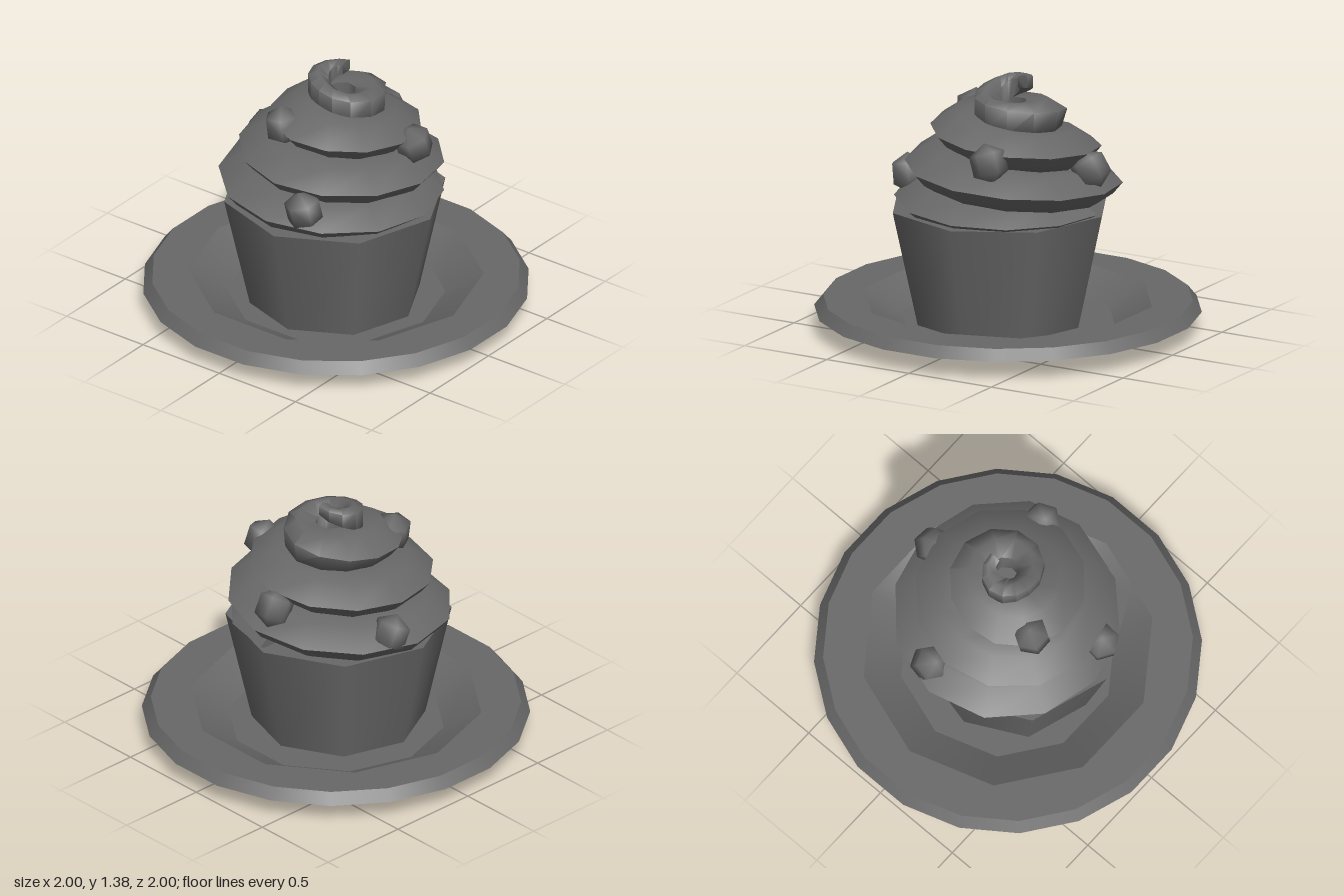
import * as THREE from 'three';
import { toCreasedNormals } from 'three/addons/utils/BufferGeometryUtils.js';

const material = new THREE.MeshStandardMaterial({ color: 0x686868 });
const openMaterial = new THREE.MeshStandardMaterial({ color: 0x686868, side: THREE.DoubleSide });

function part(parent, name, geometry, mat = material) {
  const mesh = new THREE.Mesh(geometry, mat);
  mesh.name = name;
  parent.add(mesh);
  return mesh;
}

// Cone section between two heights, with smooth sides
function band(rTop, yTop, rBottom, yBottom, sides, start, open = true) {
  return new THREE.CylinderGeometry(rTop, rBottom, yTop - yBottom, sides, 1, open, start)
    .translate(0, (yTop + yBottom) / 2, 0);
}

function polygon(PathType, radius, sides, start) {
  const points = [];
  for (let i = 0; i < sides; i++) {
    const a = start + (i / sides) * Math.PI * 2;
    points.push(new THREE.Vector2(Math.cos(a) * radius, Math.sin(a) * radius));
  }
  return new PathType(points);
}

// Twenty-sided plate with a ten-sided well
function createPlate() {
  const plate = new THREE.Group();
  plate.name = 'plate';
  const s20 = Math.PI / 20, s10 = Math.PI / 10;
  const underside = [[0, 0], [0.51, 0], [1.012, 0.105]].map(([r, y]) => new THREE.Vector2(r, y));
  part(plate, 'plateUnderside', new THREE.LatheGeometry(underside, 20, s20));
  part(plate, 'plateEdge', band(0.965, 0.163, 1.012, 0.105, 20, s20));
  const rim = polygon(THREE.Shape, 0.965, 20, s20);
  rim.holes.push(polygon(THREE.Path, 0.77, 10, 0));
  part(plate, 'plateRim', new THREE.ShapeGeometry(rim).rotateX(-Math.PI / 2).translate(0, 0.163, 0));
  part(plate, 'plateWell', band(0.77, 0.163, 0.57, 0.055, 10, s10), openMaterial);
  part(plate, 'plateFloor', new THREE.CircleGeometry(0.57, 10).rotateX(-Math.PI / 2).translate(0, 0.055, 0));
  return plate;
}

// Spiral of piped icing: a ridged section swept around and up to a thin curled tip
function icingGeometry() {
  // Outer radius and ridge height at each quarter turn, starting at the back
  const stations = [
    [0.54, 0.69], [0.58, 0.695], [0.60, 0.73], [0.62, 0.76], [0.585, 0.81],
    [0.56, 0.88], [0.53, 0.925], [0.50, 0.955], [0.48, 1.01],
    [0.43, 1.07], [0.39, 1.12], [0.32, 1.14], [0.30, 1.175],
    [0.23, 1.20], [0.145, 1.245], [0.15, 1.30], [0.12, 1.35]
  ];
  const curve = new THREE.CatmullRomCurve3(stations.map(([r, y], i) => new THREE.Vector3(r, y, i)));
  // Sections as [outward, up], from a pointed ridge to a blunt band
  const pointed = [[-0.13, -0.11], [-0.05, -0.06], [0, 0], [-0.13, 0.09], [-0.27, 0.10], [-0.27, -0.11]];
  const blunt = [[-0.03, -0.09], [0, -0.075], [0, 0.06], [-0.06, 0.085], [-0.15, 0.05], [-0.15, -0.09]];
  const n = pointed.length, quarters = stations.length - 1;
  const steps = quarters * 3;
  const positions = [], index = [];
  for (let i = 0; i <= steps; i++) {
    const q = (i / steps) * quarters;
    const p = curve.getPoint(i / steps);
    const angle = (q - 1) * Math.PI / 2;
    const mix = THREE.MathUtils.smoothstep(q, 10.5, 13);
    const size = 1 - 0.6 * THREE.MathUtils.smoothstep(q, 14, quarters);
    for (let j = 0; j < n; j++) {
      const out = THREE.MathUtils.lerp(pointed[j][0], blunt[j][0], mix) * size;
      const up = THREE.MathUtils.lerp(pointed[j][1], blunt[j][1], mix) * size;
      const r = Math.max(p.x + out, 0.04);
      positions.push(Math.cos(angle) * r, Math.max(p.y + up, 0.66), Math.sin(angle) * r);
      if (i < steps) {
        const a = i * n + j, b = i * n + (j + 1) % n;
        index.push(a, b, a + n, b, b + n, a + n);
      }
    }
  }
  const last = steps * n;
  for (let j = 1; j < n - 1; j++) {
    index.push(0, j + 1, j, last, last + j, last + j + 1);
  }
  const geometry = new THREE.BufferGeometry();
  geometry.setAttribute('position', new THREE.Float32BufferAttribute(positions, 3));
  geometry.setIndex(index);
  return toCreasedNormals(geometry, 1.25);
}

export function createModel() {
  const model = new THREE.Group();
  model.name = 'cupcakeOnPlate';
  model.add(createPlate());

  // Eight-sided cup, slightly off the plate's centre
  const cup = part(model, 'cup', band(0.59, 0.675, 0.45, 0.04, 8, Math.PI / 36, false));
  cup.position.set(0.02, 0, 0.037);

  part(model, 'icing', icingGeometry(), openMaterial);

  // Berries pressed into the icing
  const berries = [
    [-0.13, 1.12, 0.28], [0.17, 0.81, 0.50], [0.41, 1.01, -0.13],
    [-0.51, 0.81, -0.09], [-0.04, 0.92, -0.48]
  ];
  berries.forEach(([x, y, z], i) => {
    const berry = part(model, 'berry', new THREE.SphereGeometry(0.108, 6, 3));
    berry.position.set(x, y, z);
    berry.rotation.set(0.1 * i, 0.5 * i, 0.15);
  });
  return model;
}
